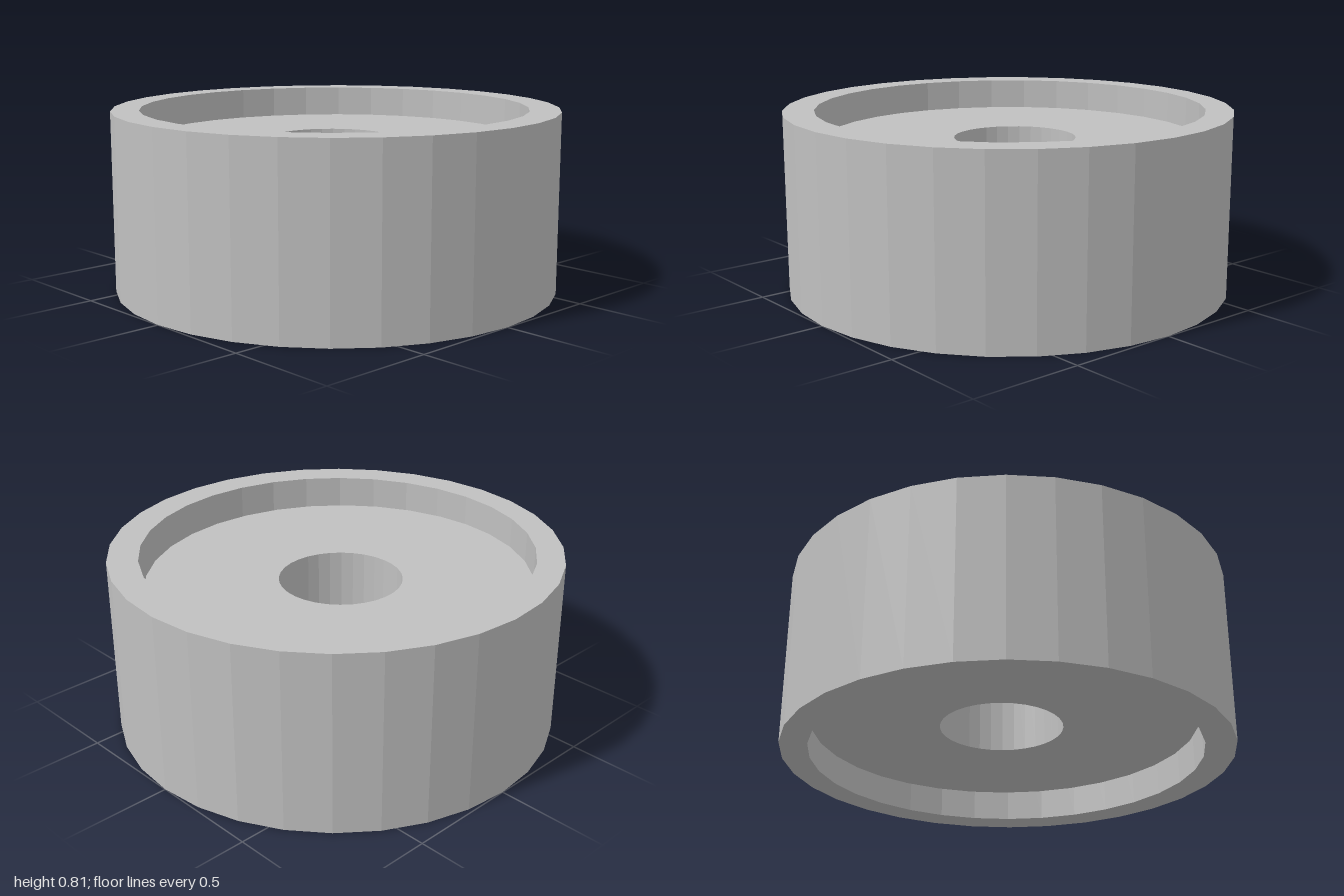
import * as THREE from 'three';

const SIDES = 32;

// Regular polygon points with a vertex on each axis
function circlePoints(radius, cx = 0, cz = 0) {
  return Array.from({ length: SIDES }, (_, i) => {
    const a = (i / SIDES) * Math.PI * 2;
    return new THREE.Vector2(cx + radius * Math.cos(a), -cz + radius * Math.sin(a));
  });
}

// Flat-sided ring standing upright between two heights
function makeRing(name, outer, inner, bottom, top, material) {
  const shape = new THREE.Shape(outer);
  shape.holes.push(new THREE.Path(inner));
  const geometry = new THREE.ExtrudeGeometry(shape, { depth: top - bottom, bevelEnabled: false });
  geometry.rotateX(-Math.PI / 2);
  geometry.translate(0, bottom, 0);
  const mesh = new THREE.Mesh(geometry, material);
  mesh.name = name;
  return mesh;
}

export function createModel() {
  const group = new THREE.Group();
  group.name = 'wheel';

  const grey = new THREE.MeshStandardMaterial({ color: 0xc0c0c0, flatShading: true });
  grey.name = 'light grey';

  // Outer tyre ring
  group.add(makeRing('outerRing', circlePoints(1), circlePoints(0.87, 0, -0.01), 0, 0.81, grey));

  // Recessed hub disc with a bore, seated slightly towards the back
  group.add(makeRing('hubDisc', circlePoints(0.87, 0, -0.035), circlePoints(0.275, 0.005, -0.035), 0.135, 0.67, grey));

  return group;
}
